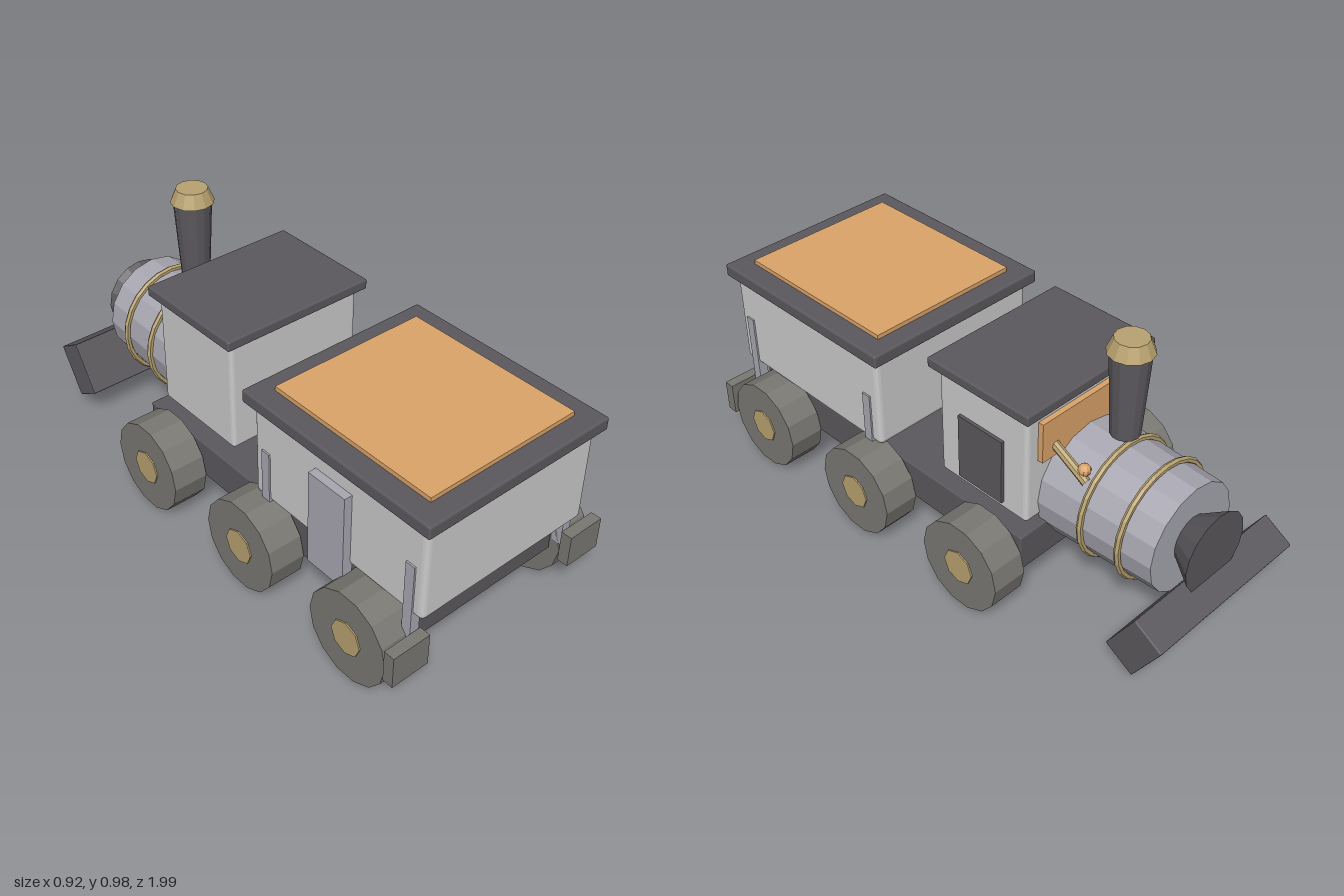
import * as THREE from 'three';
import { RoundedBoxGeometry } from 'three/addons/geometries/RoundedBoxGeometry.js';

const mat = (color) => new THREE.MeshStandardMaterial({ color, flatShading: true });

export function createModel() {
  const model = new THREE.Group();
  const body = mat(0xcccccc);
  const steel = mat(0xa9a8b2);
  const dark = mat(0x5c595e);
  const tyre = mat(0x7a7873);
  const brass = mat(0xb8a270);
  const orange = mat(0xdca56a);

  const add = (name, geometry, material, x = 0, y = 0, z = 0) => {
    const mesh = new THREE.Mesh(geometry, material);
    mesh.name = name;
    mesh.position.set(x, y, z);
    model.add(mesh);
    return mesh;
  };
  // Box given by its limits on each axis; r rounds the edges
  const box = (name, material, [x0, x1], [y0, y1], [z0, z1], r = 0) => {
    const size = [x1 - x0, y1 - y0, z1 - z0];
    const geometry = r ? new RoundedBoxGeometry(...size, 2, r) : new THREE.BoxGeometry(...size);
    return add(name, geometry, material, (x0 + x1) / 2, (y0 + y1) / 2, (z0 + z1) / 2);
  };
  // Cylinder along z, running from z0 (radius r0) to z1 (radius r1)
  const barrel = (name, material, y, z0, r0, z1, r1, sides) => {
    const geometry = new THREE.CylinderGeometry(r0, r1, z0 - z1, sides).rotateX(Math.PI / 2);
    return add(name, geometry, material, 0, y, (z0 + z1) / 2);
  };

  // Chassis
  box('chassis', dark, [-0.315, 0.315], [0.16, 0.298], [-0.41, 0.9], 0.005);

  // Wagon body with lid
  box('wagonBody', body, [-0.348, 0.348], [0.328, 0.68], [0.22, 0.975], 0.018);
  box('wagonRoof', dark, [-0.373, 0.373], [0.677, 0.724], [0.192, 1], 0.007);
  box('wagonRoofPanel', orange, [-0.298, 0.298], [0.715, 0.74], [0.262, 0.927]);
  box('wagonSideDoor', steel, [-0.378, -0.34], [0.25, 0.605], [0.51, 0.67]);

  // Cab
  box('cab', body, [-0.268, 0.268], [0.316, 0.735], [-0.386, 0.003], 0.014);
  box('cabRoof', dark, [-0.295, 0.295], [0.735, 0.772], [-0.412, 0.028], 0.006);
  box('cabDoor', dark, [0.255, 0.28], [0.348, 0.597], [-0.287, -0.092]);
  box('cabPanel', orange, [-0.24, 0.22], [0.55, 0.7], [-0.406, -0.38]);
  box('cabBracket', orange, [-0.245, -0.205], [0.718, 0.762], [-0.42, -0.385]);

  // Boiler with brass bands and flared nose
  barrel('boiler', steel, 0.376, -0.38, 0.216, -0.83, 0.195, 16);
  for (const [z, r] of [[-0.56, 0.212], [-0.71, 0.208]])
    add('boilerBand', new THREE.TorusGeometry(r, 0.011, 6, 24), brass, 0, 0.376, z);
  barrel('nose', dark, 0.378, -0.825, 0.078, -0.922, 0.142, 16);

  // Chimney
  add('chimney', new THREE.CylinderGeometry(0.068, 0.05, 0.31, 14), dark, 0, 0.785, -0.546);
  add('chimneyCap', new THREE.CylinderGeometry(0.056, 0.077, 0.05, 12), brass, 0, 0.96, -0.546);

  // Valve pipe on the boiler shoulder
  const pipe = new THREE.LineCurve3(
    new THREE.Vector3(0.16, 0.592, -0.4), new THREE.Vector3(0.16, 0.515, -0.535));
  add('valvePipe', new THREE.TubeGeometry(pipe, 1, 0.016, 8), brass);
  add('valveKnob', new THREE.SphereGeometry(0.022, 10, 8), orange, 0.148, 0.547, -0.515);

  // Tilted plough
  const plough = add('plough', new RoundedBoxGeometry(0.655, 0.2, 0.125, 2, 0.004), dark, 0, 0.179, -0.89);
  plough.rotation.x = -0.54;

  // Wheels, posts and buffers on both sides
  const wheelGeometry = new THREE.CylinderGeometry(0.167, 0.167, 0.13, 14).rotateZ(Math.PI / 2);
  const hubGeometry = new THREE.CylinderGeometry(0.063, 0.063, 0.13, 8).rotateZ(Math.PI / 2);
  for (const side of [-1, 1]) {
    const span = (a, b) => (side > 0 ? [a, b] : [-b, -a]);
    for (const z of [0.77, 0.255, -0.262]) {
      add('wheel', wheelGeometry, tyre, side * 0.383, 0.167, z);
      add('hub', hubGeometry, brass, side * 0.388, 0.167, z);
    }
    for (const z of [0.92, 0.278])
      box('sidePost', steel, span(0.318, 0.354), [0.2, 0.52], [z - 0.018, z + 0.018]);
    box('buffer', tyre, span(0.313, 0.458), [0.138, 0.258], [0.94, 0.98]);
  }
  return model;
}
